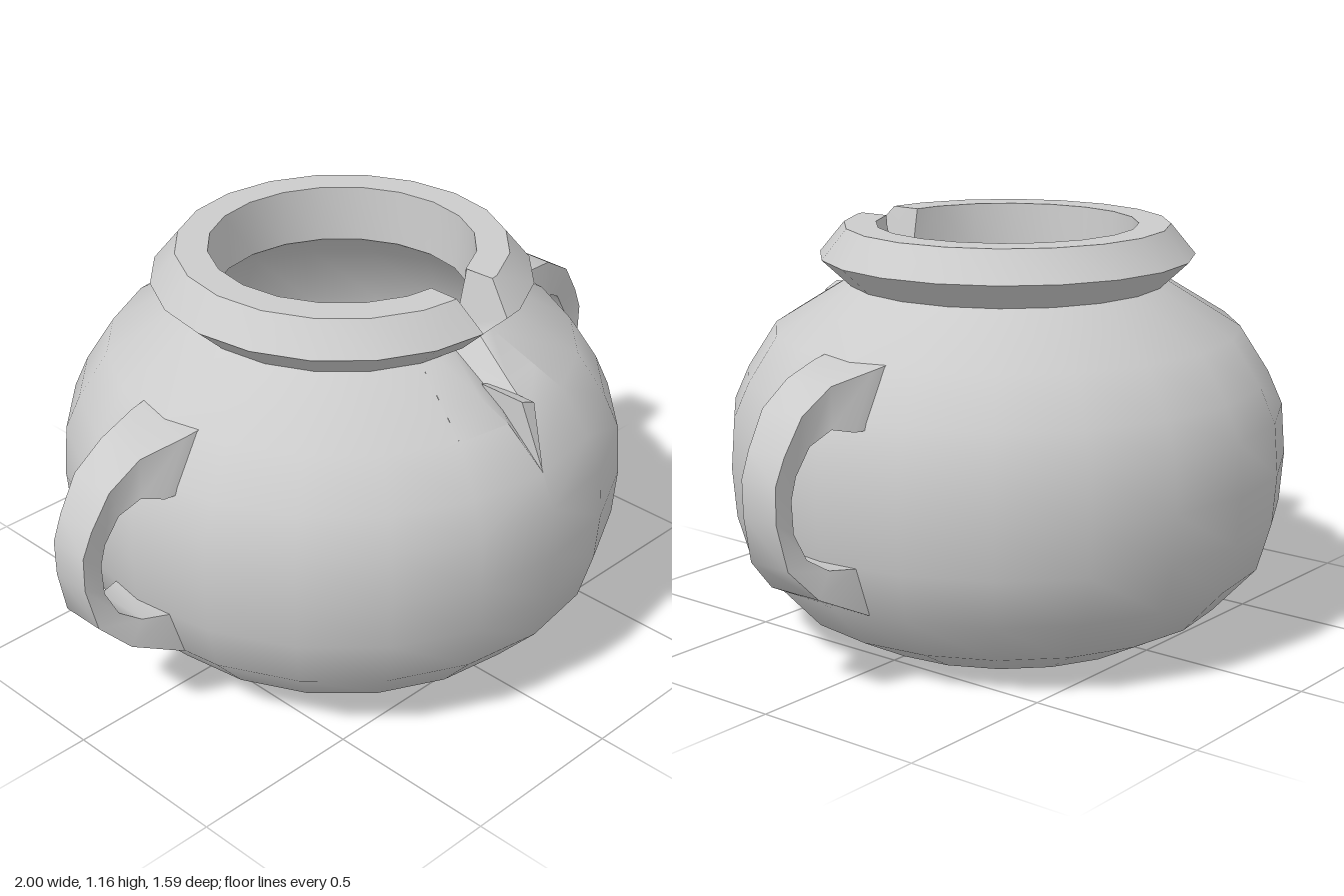
import * as THREE from 'three';
import { mergeGeometries, toCreasedNormals } from 'three/addons/utils/BufferGeometryUtils.js';
import { ConvexGeometry } from 'three/addons/geometries/ConvexGeometry.js';

const STEP = Math.PI / 10; // the pot has 20 sides
const material = new THREE.MeshStandardMaterial({ color: 0xcccccc, side: THREE.DoubleSide });
const V = (x, y, z) => new THREE.Vector3(x, y, z);

// Collects triangles and quads given as corner points
function faceBuilder() {
  const pos = [];
  const tri = (...p) => p.forEach((v) => pos.push(v.x, v.y, v.z));
  const quad = (a, b, c, d) => { tri(a, b, c); tri(a, c, d); };
  const build = () => new THREE.BufferGeometry()
    .setAttribute('position', new THREE.Float32BufferAttribute(pos, 3));
  return { tri, quad, build };
}

function lathe(points, start, sides) {
  const g = new THREE.LatheGeometry(points.map(([r, y]) => new THREE.Vector2(r, y)),
    sides, start * STEP, sides * STEP).toNonIndexed();
  g.deleteAttribute('uv');
  g.deleteAttribute('normal');
  return g;
}

function mesh(name, geometry) {
  const m = new THREE.Mesh(geometry, material);
  m.name = name;
  return m;
}

// Pot wall profile: radius, height
const lower = [[0.46, 0], [0.62, 0.085], [0.745, 0.22], [0.785, 0.36], [0.796, 0.5], [0.785, 0.645]];
const inner = [[0.36, 1], [0.57, 0.86], [0.7, 0.64], [0.715, 0.5], [0.66, 0.25], [0.54, 0.13], [0.4, 0.08], [0, 0.08]];
// Broken front: radius, height, left and right x of the crack
const cracked = [
  [0.785, 0.645, 0, 0], [0.743, 0.74, 0, 0], [0.66, 0.87, -0.043, 0.04], [0.58, 0.92, -0.06, 0.055],
  [0.45, 1, -0.085, 0.085], [0.45, 1, 0, 0.085],
  [0.53, 1.075, -0.01, 0.1], [0.46, 1.16, -0.035, 0.12], [0.37, 1.16, -0.035, 0.12], [0.36, 1, 0, 0.085],
];

function potWall() {
  const { tri, quad, build } = faceBuilder();
  const onFacet = (r, y, x) => V(x, y, r - Math.abs(x) * Math.tan(STEP / 2));
  const corner = (r, y, s) => V(s * r * Math.sin(STEP), y, r * Math.cos(STEP));
  const rows = cracked.map(([r, y, xl, xr], i) => ({
    a: corner(r, y, -1), b: corner(r, y, 1),
    L: onFacet(r, y, xl), R: onFacet(r, y, xr),
    D: i < 2 ? V(0, y, r) : V(0.02, y, r - 0.09), // bottom of the crack
  }));
  for (let i = 0; i + 1 < rows.length; i++) {
    const p = rows[i], q = rows[i + 1];
    quad(p.a, p.L, q.L, q.a);
    quad(p.R, p.b, q.b, q.R);
    if (i > 0 && i < 4) { // crack sides
      quad(p.L, p.D, q.D, q.L);
      quad(p.D, p.R, q.R, q.D);
    }
  }
  // Broken ends of the rim and its underside over the crack
  const neck = rows.slice(5), end = neck[4];
  for (let i = 0; i < 3; i++) {
    tri(end.L, neck[i + 1].L, neck[i].L);
    tri(end.R, neck[i].R, neck[i + 1].R);
  }
  quad(rows[4].L, neck[0].L, end.L, rows[4].D);
  tri(rows[4].D, rows[4].R, end.R);

  const whole = [...lower, ...cracked.slice(1, 3), ...cracked.slice(5), ...inner.slice(1)];
  const g = mergeGeometries([lathe(whole, 1, 18), lathe(lower, -1, 2), lathe(inner, -1, 2), build()]);
  return toCreasedNormals(g, 0.75);
}

// Handle sections: outer x, y, inner x, y, outer and inner half width
const handleSections = [
  [0.63, 0.875, 0.72, 0.72, 0.11, 0.12], [0.68, 0.868, 0.765, 0.722, 0.105, 0.115],
  [0.81, 0.845, 0.82, 0.735, 0.077, 0.085],
  [0.91, 0.785, 0.88, 0.7, 0.07, 0.065], [0.97, 0.69, 0.925, 0.63, 0.063, 0.058],
  [1, 0.62, 0.94, 0.57, 0.06, 0.055], [1, 0.52, 0.935, 0.48, 0.058, 0.055],
  [0.97, 0.39, 0.9, 0.405, 0.066, 0.065], [0.88, 0.295, 0.84, 0.365, 0.085, 0.085],
  [0.73, 0.22, 0.77, 0.357, 0.118, 0.11], [0.68, 0.21, 0.72, 0.35, 0.12, 0.115],
];

function handleGeometry() {
  const { quad, build } = faceBuilder();
  const rings = handleSections.map(([ox, oy, ix, iy, wo, wi]) =>
    [V(ox, oy, wo), V(ox, oy, -wo), V(ix, iy, -wi), V(ix, iy, wi)]);
  for (let i = 0; i + 1 < rings.length; i++) {
    for (let k = 0; k < 4; k++) {
      const n = (k + 1) % 4;
      quad(rings[i][k], rings[i + 1][k], rings[i + 1][n], rings[i][n]);
    }
  }
  quad(...rings[0]);
  quad(...rings[rings.length - 1].slice().reverse());
  return toCreasedNormals(build(), 0.75);
}

export function createModel() {
  const group = new THREE.Group();
  group.name = 'crackedPot';
  group.add(mesh('potWall', potWall()));

  const base = mesh('base', new THREE.CircleGeometry(0.46, 20, Math.PI / 2));
  base.rotation.x = Math.PI / 2;
  group.add(base);

  // Splinter left standing in the crack
  group.add(mesh('shard', new ConvexGeometry([
    V(0, 0.74, 0.743), V(0, 0.92, 0.66), V(0.05, 0.9, 0.66),
    V(0, 0.92, 0.52), V(0.05, 0.9, 0.52), V(0.03, 0.78, 0.62),
  ])));

  const left = mesh('leftHandle', handleGeometry());
  const right = mesh('rightHandle', left.geometry);
  right.rotation.y = Math.PI;
  group.add(left, right);
  return group;
}
